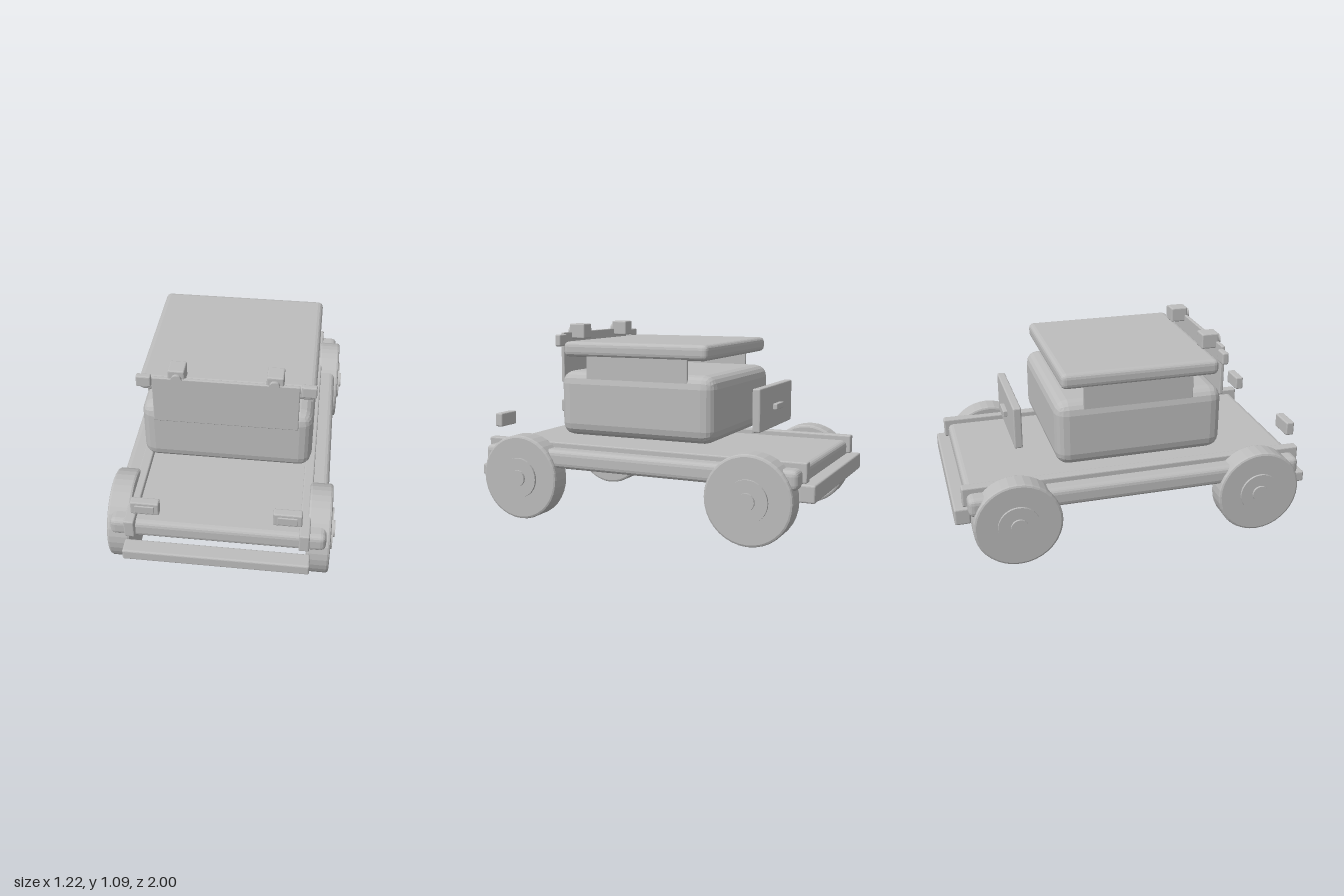
import * as THREE from 'three';
import { RoundedBoxGeometry } from 'three/addons/geometries/RoundedBoxGeometry.js';

export function createModel() {
  const model = new THREE.Group();
  model.name = 'utilityTruck';
  const grey = new THREE.MeshStandardMaterial({ color: 0xbcbcbc });
  grey.name = 'plainGrey';

  // faceted normals for every part
  function add(name, geometry, parent = model) {
    const g = geometry.index ? geometry.toNonIndexed() : geometry;
    g.computeVertexNormals();
    const mesh = new THREE.Mesh(g, grey);
    mesh.name = name;
    parent.add(mesh);
    return mesh;
  }

  // bevelled box given by its extents
  function block(name, [x0, x1], [y0, y1], [z0, z1], bevel = 0.008) {
    const g = new RoundedBoxGeometry(x1 - x0, y1 - y0, z1 - z0, 2, bevel);
    g.translate((x0 + x1) / 2, (y0 + y1) / 2, (z0 + z1) / 2);
    return add(name, g);
  }

  // the same box on the left and the right
  function pair(name, [x0, x1], y, z, bevel) {
    block(name + 'Left', [x0, x1], y, z, bevel);
    block(name + 'Right', [-x1, -x0], y, z, bevel);
  }

  // chassis
  block('deck', [-0.565, 0.565], [0.302, 0.406], [-0.93, 0.92], 0.03);
  pair('frameRail', [0.425, 0.48], [0.33, 0.436], [-0.953, 0.95]);
  block('frontBumper', [-0.488, 0.488], [0.211, 0.274], [0.91, 1], 0.01);
  block('rearBumper', [-0.495, 0.495], [0.235, 0.328], [-1, -0.915], 0.01);

  // cab
  block('cabBody', [-0.457, 0.457], [0.475, 0.837], [-0.438, 0.488], 0.07);
  block('cowl', [-0.25, 0.25], [0.79, 0.848], [0.31, 0.41]);
  pair('sidePanel', [0.434, 0.45], [0.72, 0.93], [-0.29, 0.314], 0.003);
  block('roof', [-0.462, 0.462], [0.916, 1], [-0.407, 0.456], 0.028);
  block('windshield', [-0.38, 0.38], [0.767, 1.045], [0.496, 0.516], 0.005);

  // roof lights, mirrors and headlights
  pair('roofLight', [0.209, 0.296], [1.008, 1.092], [0.415, 0.512]);
  for (const x of [-0.25, 0.25]) {
    const lens = new THREE.CylinderGeometry(0.027, 0.027, 0.03, 20);
    lens.rotateX(Math.PI / 2).translate(x, 1.047, 0.515);
    add('roofLightLens', lens);
  }
  pair('mirror', [0.388, 0.466], [0.972, 1.037], [0.468, 0.503]);
  pair('headlight', [0.29, 0.437], [0.491, 0.569], [0.893, 0.94]);
  pair('headlightLens', [0.313, 0.413], [0.506, 0.552], [0.93, 0.947], 0.003);

  // tailgate
  block('tailgate', [-0.278, 0.278], [0.533, 0.767], [-0.635, -0.59]);
  block('tailgateHandle', [-0.06, 0.06], [0.632, 0.665], [-0.658, -0.63], 0.005);

  // wheels, turned about the axle
  const tyreProfile = [
    [0, -0.062], [0.225, -0.062], [0.234, -0.058], [0.238, -0.049],
    [0.238, 0.049], [0.234, 0.058], [0.225, 0.062], [0, 0.062],
  ].map(([r, y]) => new THREE.Vector2(r, y));
  for (const side of [-1, 1]) {
    for (const end of [-1, 1]) {
      const wheel = new THREE.Group();
      wheel.name = (end > 0 ? 'front' : 'rear') + 'Wheel' + (side > 0 ? 'Left' : 'Right');
      add('tyre', new THREE.LatheGeometry(tyreProfile, 36), wheel);
      const hub = new THREE.CylinderGeometry(0.112, 0.116, 0.138, 32);
      add('hub', hub.translate(0, 0.005, 0), wheel);
      const cap = new THREE.CylinderGeometry(0.046, 0.046, 0.05, 20);
      add('hubCap', cap.translate(0, 0.061, 0), wheel);
      wheel.rotation.z = -side * Math.PI / 2;
      wheel.position.set(side * 0.526, 0.238, end * 0.678);
      model.add(wheel);
    }
  }

  // short axle stubs under the deck
  for (const z of [-0.678, 0.678]) {
    pair('axleStub', [0.28, 0.5], [0.284, 0.32], [z - 0.02, z + 0.02], 0.005);
  }

  return model;
}
